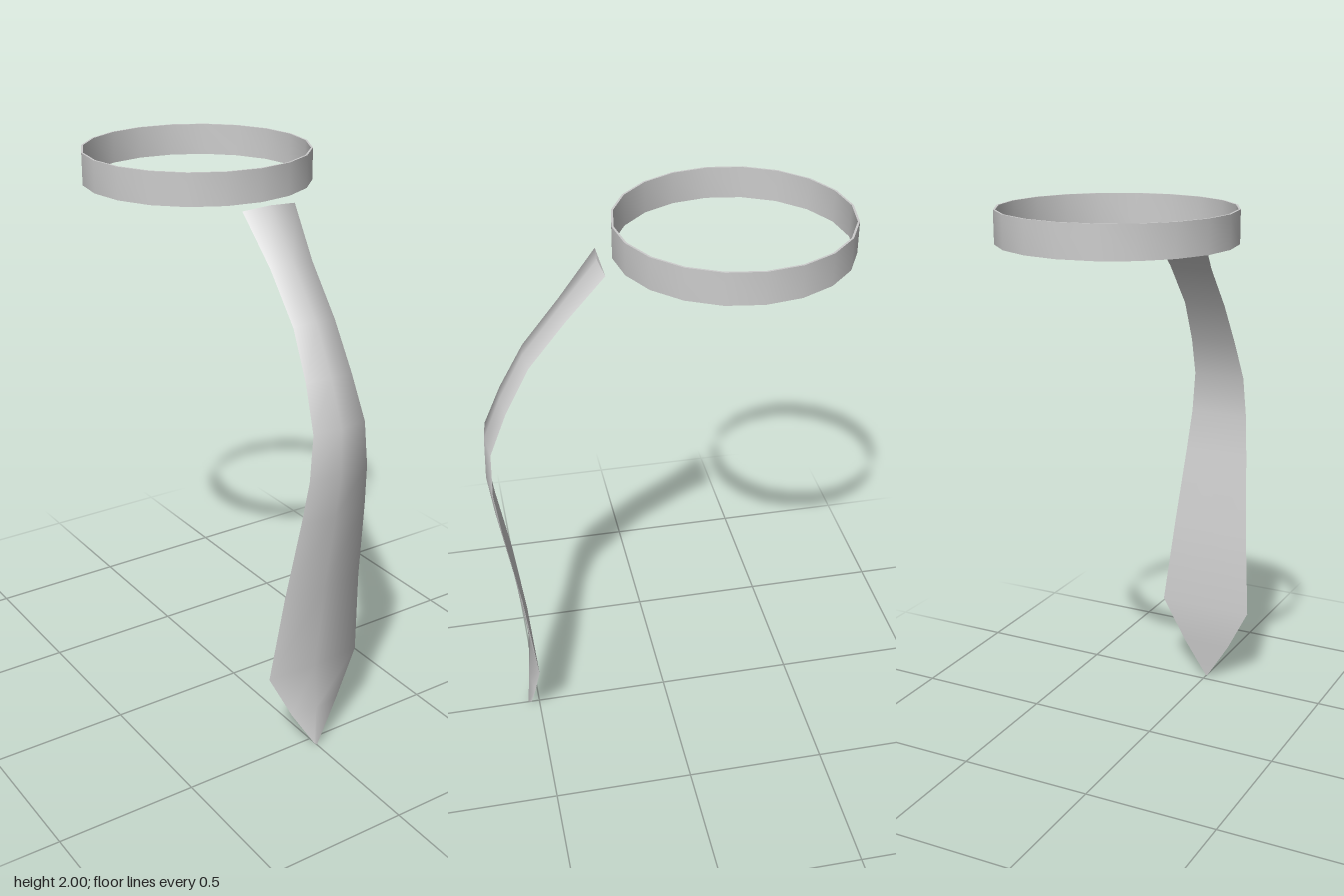
import * as THREE from 'three';
import { toCreasedNormals } from 'three/addons/utils/BufferGeometryUtils.js';

// Ridge line of the tie from tip to top: [y, z, half width]
const ROWS = [
  [0, 0.543, 0.003], [0.15, 0.532, 0.097], [0.32, 0.518, 0.185],
  [0.65, 0.558, 0.154], [0.94, 0.606, 0.129], [1.1, 0.627, 0.115],
  [1.26, 0.622, 0.102], [1.41, 0.56, 0.09], [1.57, 0.474, 0.081],
  [1.73, 0.345, 0.082], [1.89, 0.215, 0.102],
];
const RIDGE = 0.012; // height of the ridge over the flat back

// Unit normal of the ridge line in the yz plane
function rowNormal(i) {
  const a = ROWS[Math.max(i - 1, 0)], b = ROWS[Math.min(i + 1, ROWS.length - 1)];
  return new THREE.Vector3(0, a[1] - b[1], b[0] - a[0]).normalize();
}

// One skin of the tie: softly rounded front with a ridge, or flat back
function tieSkin(front) {
  const pos = [], nor = [], idx = [];
  ROWS.forEach(([y, z, w], i) => {
    const n = rowNormal(i);
    for (const u of [-1, 0, 1]) {
      const drop = front && u === 0 ? 0 : RIDGE;
      pos.push(u * w, y - n.y * drop, z - n.z * drop);
      const m = front
        ? n.clone().add(new THREE.Vector3(0.8 * u, 0, 0)).normalize()
        : n.clone().negate();
      nor.push(m.x, m.y, m.z);
    }
    if (i === 0) return;
    for (let c = 0; c < 2; c++) {
      const a = (i - 1) * 3 + c, b = a + 1, d = a + 3, e = a + 4;
      if (front) idx.push(a, b, e, a, e, d);
      else idx.push(a, e, b, a, d, e);
    }
  });
  const g = new THREE.BufferGeometry();
  g.setAttribute('position', new THREE.Float32BufferAttribute(pos, 3));
  g.setAttribute('normal', new THREE.Float32BufferAttribute(nor, 3));
  g.setIndex(idx);
  return g;
}

export function createModel() {
  const model = new THREE.Group();
  const fabric = new THREE.MeshStandardMaterial({ color: 0xcccccc });
  fabric.name = 'grey fabric';
  const add = (name, geometry, parent) => {
    const mesh = new THREE.Mesh(geometry, fabric);
    mesh.name = name;
    parent.add(mesh);
    return mesh;
  };

  // Collar band: thin 20-sided ring with square edges
  const profile = [[0.39, 1.89], [0.397, 1.89], [0.397, 2], [0.39, 2], [0.39, 1.89]]
    .map(([r, y]) => new THREE.Vector2(r, y));
  const band = toCreasedNormals(new THREE.LatheGeometry(profile, 20), 0.6);
  add('collarBand', band, model).position.z = -0.231;

  // Tie blade
  const tie = new THREE.Group();
  tie.name = 'tie';
  model.add(tie);
  add('tieFront', tieSkin(true), tie);
  add('tieBack', tieSkin(false), tie);

  // Small cap closing the top end
  const last = ROWS.length - 1, [y, z, w] = ROWS[last], n = rowNormal(last);
  const by = y - n.y * RIDGE, bz = z - n.z * RIDGE;
  const cap = new THREE.BufferGeometry();
  cap.setAttribute('position', new THREE.Float32BufferAttribute(
    [-w, by, bz, 0, y, z, w, by, bz], 3));
  cap.computeVertexNormals();
  add('tieTopEdge', cap, tie);

  return model;
}
